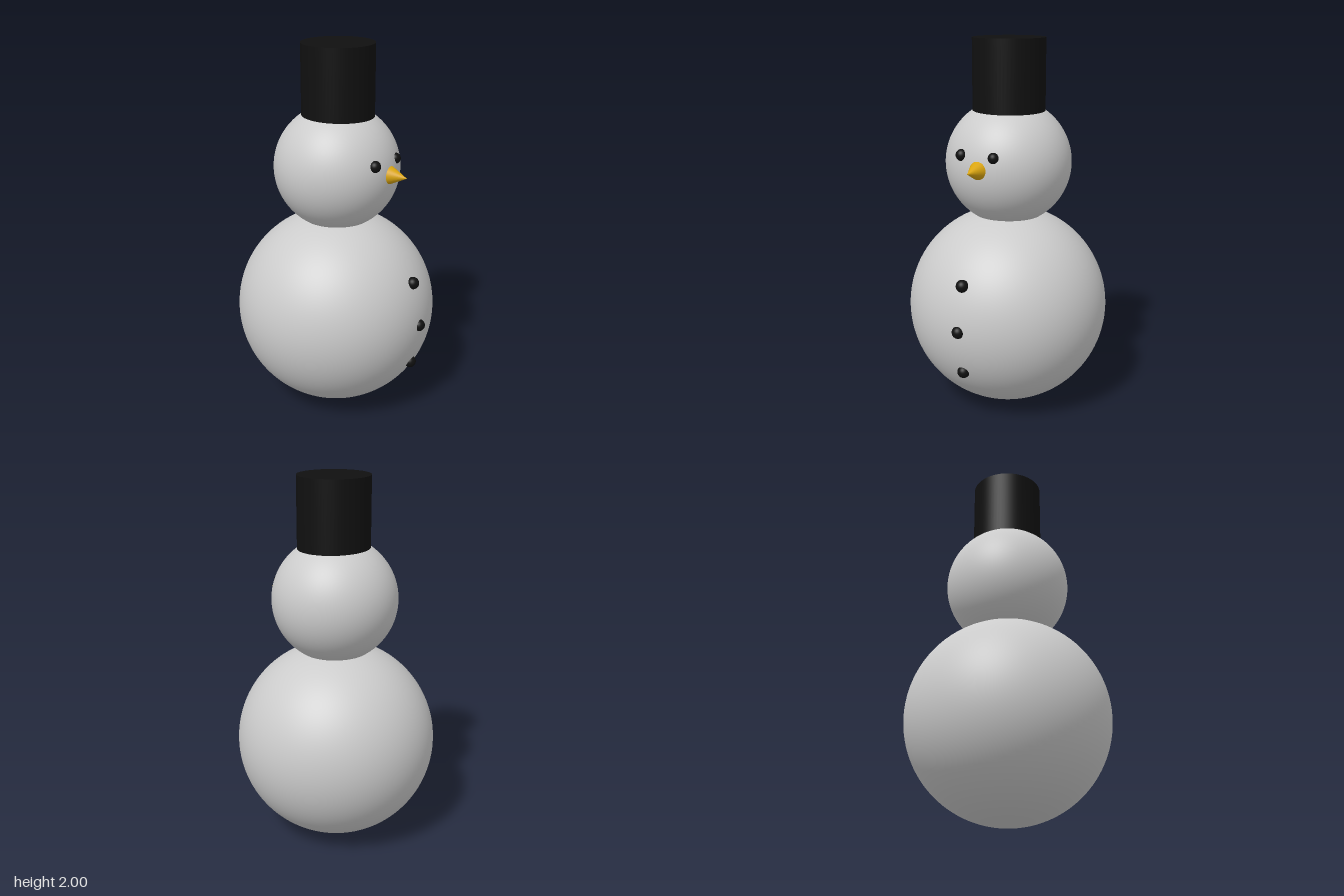
import * as THREE from 'three';

export function createModel() {
  const model = new THREE.Group();
  const snow = new THREE.MeshStandardMaterial({ color: 0xcccccc });
  const coal = new THREE.MeshStandardMaterial({ color: 0x101010 });
  const carrot = new THREE.MeshStandardMaterial({ color: 0xdaa510 });

  const add = (name, geometry, material, x, y, z) => {
    const mesh = new THREE.Mesh(geometry, material);
    mesh.name = name;
    mesh.position.set(x, y, z);
    model.add(mesh);
    return mesh;
  };

  // Snowballs
  add('body', new THREE.SphereGeometry(0.545, 96, 64), snow, -0.015, 0.545, 0);
  add('head', new THREE.SphereGeometry(0.338, 96, 64), snow, -0.012, 1.345, -0.006);

  // Brimless hat, sunk slightly into the head
  add('hat', new THREE.CylinderGeometry(0.193, 0.193, 0.4, 64), coal, -0.008, 1.8, -0.01);

  // Nose cone pointing along +x
  const nose = add('nose', new THREE.ConeGeometry(0.053, 0.11, 48), carrot, 0.365, 1.352, -0.012);
  nose.rotation.z = -Math.PI / 2;

  // Eyes
  add('leftEye', new THREE.SphereGeometry(0.031, 32, 24), coal, 0.296, 1.42, 0.097);
  add('rightEye', new THREE.SphereGeometry(0.029, 32, 24), coal, 0.298, 1.42, -0.092);

  // Buttons down the front of the body
  const button = new THREE.SphereGeometry(0.033, 32, 24);
  for (const [x, y] of [[0.477, 0.785], [0.522, 0.55], [0.475, 0.313]]) {
    add('button', button, coal, x, y, -0.01);
  }

  return model;
}
